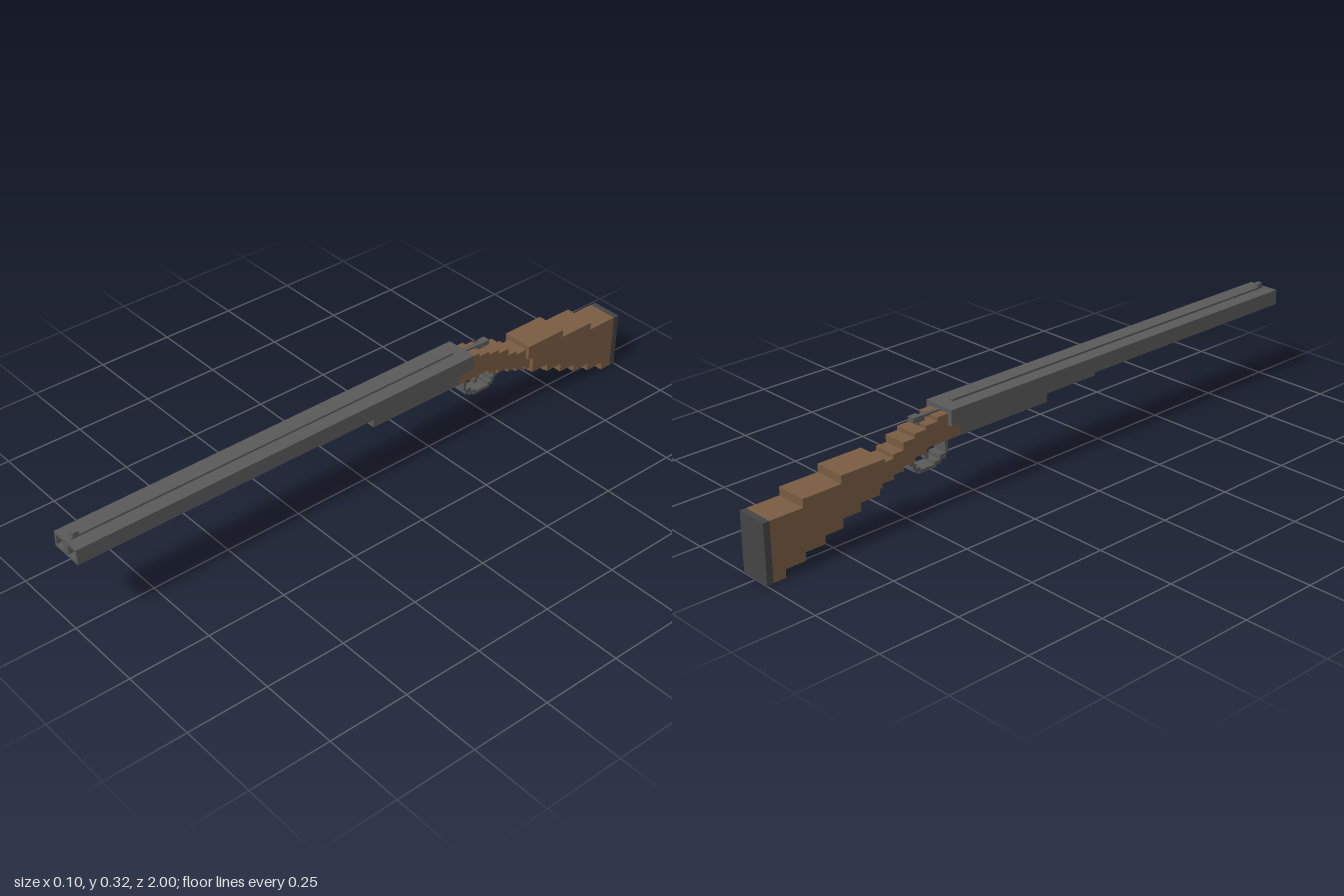
import * as THREE from 'three';

const metal = new THREE.MeshStandardMaterial({ color: 0x5a5a5a });
const wood = new THREE.MeshStandardMaterial({ color: 0x7a5c43 });
const rubber = new THREE.MeshStandardMaterial({ color: 0x454545 });

export function createModel() {
  const model = new THREE.Group();

  // Box centred on x, given its half width and its y and z limits
  function block(parent, name, material, halfWidth, y0, y1, z0, z1, x = 0) {
    const geometry = new THREE.BoxGeometry(halfWidth * 2, y1 - y0, z1 - z0);
    const mesh = new THREE.Mesh(geometry, material);
    mesh.name = name;
    mesh.position.set(x, (y0 + y1) / 2, (z0 + z1) / 2);
    parent.add(mesh);
  }

  function part(name) {
    const group = new THREE.Group();
    group.name = name;
    model.add(group);
    return group;
  }

  // Twin barrels: a solid bar with a muzzle that has two square bores
  const barrels = part('barrels');
  const muzzleDepth = 0.06;
  block(barrels, 'barrelBody', metal, 0.052, 0.25, 0.298, -0.372, 1 - muzzleDepth);
  const face = new THREE.Shape([[-0.052, 0.25], [0.052, 0.25], [0.052, 0.298], [-0.052, 0.298]]
    .map(([x, y]) => new THREE.Vector2(x, y)));
  for (const x of [-0.028, 0.028]) {
    face.holes.push(new THREE.Path([[-0.016, 0.26], [-0.016, 0.29], [0.016, 0.29], [0.016, 0.26]]
      .map(([dx, y]) => new THREE.Vector2(x + dx, y))));
  }
  const muzzle = new THREE.Mesh(
    new THREE.ExtrudeGeometry(face, { depth: muzzleDepth, bevelEnabled: false }), metal);
  muzzle.name = 'muzzle';
  muzzle.position.z = 1 - muzzleDepth;
  barrels.add(muzzle);

  // Sighting rib and front bead
  block(barrels, 'rib', metal, 0.008, 0.297, 0.304, -0.33, 0.985);
  block(barrels, 'frontSight', metal, 0.008, 0.303, 0.316, 0.962, 0.98);

  // Stepped fore end under the barrels
  const foreEnd = part('foreEnd');
  block(foreEnd, 'foreEndUpper', metal, 0.037, 0.232, 0.251, -0.33, 0.195);
  block(foreEnd, 'foreEndLower', metal, 0.037, 0.206, 0.233, -0.33, 0);

  // Narrow wrist, stepping down towards the back: [front z, back z, bottom, top]
  const wrist = part('wrist');
  [
    [-0.33, -0.37, 0.206, 0.252],
    [-0.37, -0.41, 0.206, 0.284],
    [-0.41, -0.45, 0.206, 0.272],
    [-0.45, -0.49, 0.192, 0.261],
    [-0.49, -0.53, 0.178, 0.248],
    [-0.53, -0.565, 0.165, 0.225],
    [-0.565, -0.605, 0.152, 0.212],
    [-0.605, -0.625, 0.14, 0.212],
    [-0.625, -0.69, 0.127, 0.2],
    [-0.69, -0.75, 0.102, 0.2],
  ].forEach(([front, back, y0, y1]) => block(wrist, 'wristStep', wood, 0.037, y0, y1, back, front));

  // Wide butt, same step layout
  const butt = part('butt');
  [
    [-0.605, -0.625, 0.182, 0.229],
    [-0.625, -0.69, 0.13, 0.229],
    [-0.69, -0.75, 0.105, 0.229],
    [-0.75, -0.81, 0.077, 0.205],
    [-0.81, -0.875, 0.052, 0.205],
    [-0.875, -0.94, 0.027, 0.18],
    [-0.94, -0.98, 0.002, 0.18],
  ].forEach(([front, back, y0, y1]) => block(butt, 'buttStep', wood, 0.05, y0, y1, back, front));
  block(butt, 'buttPlate', rubber, 0.05, 0, 0.18, -1, -0.98);

  // Trigger guard built from a stepped loop of small bars
  const guard = part('triggerGuard');
  [
    [-0.363, -0.373, 0.16, 0.208],
    [-0.371, -0.393, 0.147, 0.163],
    [-0.388, -0.412, 0.138, 0.149],
    [-0.406, -0.468, 0.131, 0.141],
    [-0.463, -0.482, 0.139, 0.15],
    [-0.476, -0.489, 0.148, 0.164],
    [-0.484, -0.5, 0.161, 0.18],
  ].forEach(([front, back, y0, y1]) => block(guard, 'guardBar', metal, 0.024, y0, y1, back, front));

  // Trigger in three steps
  const trigger = part('trigger');
  block(trigger, 'triggerTop', metal, 0.009, 0.185, 0.208, -0.432, -0.42);
  block(trigger, 'triggerMiddle', metal, 0.009, 0.17, 0.187, -0.438, -0.426);
  block(trigger, 'triggerTip', metal, 0.009, 0.158, 0.172, -0.432, -0.42);

  // Opening lever on top of the wrist
  const lever = part('topLever');
  block(lever, 'leverPost', metal, 0.007, 0.265, 0.286, -0.455, -0.43);
  block(lever, 'leverThumbPiece', metal, 0.012, 0.277, 0.292, -0.472, -0.445);
  block(lever, 'leverArm', metal, 0.007, 0.282, 0.289, -0.447, -0.37);

  return model;
}
